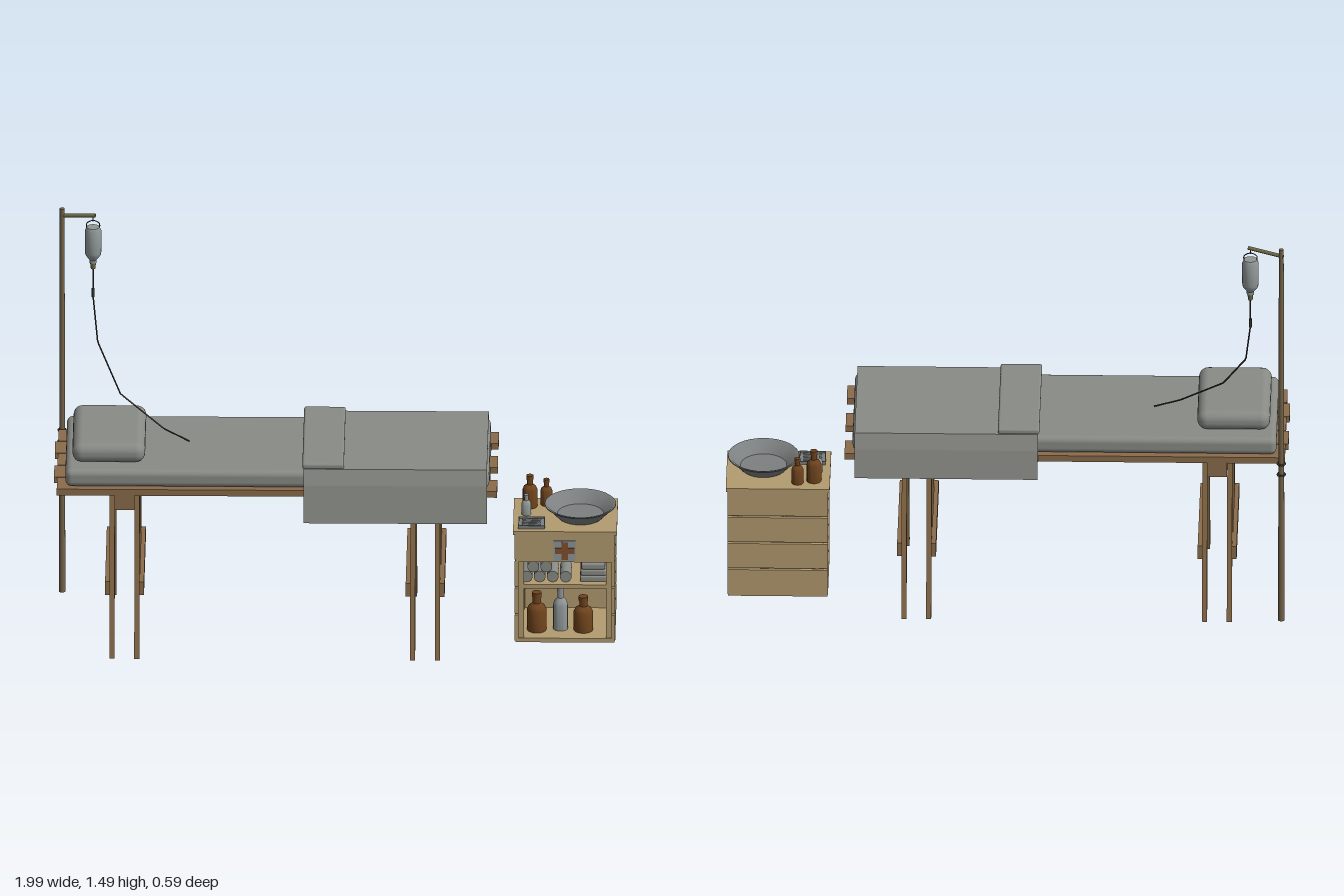
import * as THREE from 'three';
import { RoundedBoxGeometry } from 'three/addons/geometries/RoundedBoxGeometry.js';
import { toCreasedNormals } from 'three/addons/utils/BufferGeometryUtils.js';

const mat = (name, color, side = THREE.FrontSide) => {
  const m = new THREE.MeshStandardMaterial({ color, side });
  m.name = name;
  return m;
};

export function createModel() {
  const wood = mat('trestle wood', 0x8a6c4a);
  const crateWood = mat('crate wood', 0xb39b70);
  const cloth = mat('cloth', 0x898b86);
  const glass = mat('clear glass', 0x8f9696);
  const amber = mat('amber glass', 0x6e431d);
  const enamel = mat('basin enamel', 0x7d8080, THREE.DoubleSide);
  const poleMat = mat('pole', 0x75644a);
  const brass = mat('brass', 0x6f6a45);
  const rubber = mat('dark rubber', 0x3a362e);
  const crossMat = mat('cross paint', 0x80512c);

  const root = new THREE.Group();
  root.name = 'fieldHospitalBed';
  const group = (name) => {
    const g = new THREE.Group();
    g.name = name;
    root.add(g);
    return g;
  };
  const add = (parent, name, geo, m, x = 0, y = 0, z = 0) => {
    const mesh = new THREE.Mesh(geo, m);
    mesh.name = name;
    mesh.position.set(x, y, z);
    parent.add(mesh);
    return mesh;
  };
  // box given by its limits on each axis
  const box = (parent, name, m, x0, x1, y0, y1, z0, z1, r = 0) => {
    const s = [x1 - x0, y1 - y0, z1 - z0];
    const geo = r ? new RoundedBoxGeometry(...s, 3, r) : new THREE.BoxGeometry(...s);
    return add(parent, name, geo, m, (x0 + x1) / 2, (y0 + y1) / 2, (z0 + z1) / 2);
  };
  // outline of [z, y] points, extruded along x
  const prism = (parent, name, m, pts, x0, x1) => {
    const shape = new THREE.Shape(pts.map(([z, y]) => new THREE.Vector2(-z, y)));
    const geo = new THREE.ExtrudeGeometry(shape, { depth: x1 - x0, bevelEnabled: false });
    geo.rotateY(Math.PI / 2);
    return add(parent, name, geo, m, x0);
  };
  const lathe = (pts, seg = 16) =>
    toCreasedNormals(new THREE.LatheGeometry(pts.map(([r, y]) => new THREE.Vector2(r, y)), seg), 0.6);
  const v = (x, y, z) => new THREE.Vector3(x, y, z);
  const rod = (parent, name, m, a, b, r) => {
    const d = b.clone().sub(a);
    const mesh = add(parent, name, new THREE.CylinderGeometry(r, r, d.length(), 8), m);
    mesh.position.copy(a).addScaledVector(d, 0.5);
    mesh.quaternion.setFromUnitVectors(v(0, 1, 0), d.normalize());
  };

  // plank bed top with staggered ends
  const planks = group('planks');
  for (let i = 0; i < 5; i++) {
    const z = (i - 2) * 0.103;
    const odd = i % 2;
    box(planks, 'plank', wood, odd ? -0.998 : -0.987, odd ? 0.547 : 0.573, 0.616, 0.64, z - 0.049, z + 0.049);
  }

  // two trestles
  for (const cx of [-0.747, 0.318]) {
    const t = group('trestle');
    box(t, 'beam', wood, cx - 0.035, cx + 0.035, 0.56, 0.616, -0.255, 0.255);
    for (const sx of [-1, 1]) {
      const lx = cx + sx * 0.044;
      for (const s of [-1, 1]) {
        const pts = [[0.247 * s, 0], [0.297 * s, 0], [0.19 * s, 0.6], [0.14 * s, 0.6]];
        prism(t, 'leg', wood, pts, lx - 0.009, lx + 0.009);
      }
      const bx = cx + sx * 0.061;
      box(t, 'brace', wood, bx - 0.008, bx + 0.008, 0.22, 0.272, -0.236, 0.236);
    }
  }

  // bedding
  const bedding = group('bedding');
  box(bedding, 'mattress', cloth, -0.957, 0.545, 0.64, 0.706, -0.243, 0.243, 0.022);
  box(bedding, 'pillow', cloth, -0.933, -0.675, 0.704, 0.778, -0.188, 0.186, 0.034);
  prism(bedding, 'blanket', cloth, [
    [0.287, 0.53], [0.262, 0.66], [0.247, 0.706], [-0.247, 0.706], [-0.262, 0.66], [-0.283, 0.56],
    [-0.289, 0.56], [-0.269, 0.665], [-0.25, 0.721], [0.25, 0.721], [0.269, 0.665], [0.293, 0.53],
  ], -0.112, 0.537);
  box(bedding, 'blanketFold', cloth, -0.117, 0.03, 0.718, 0.74, -0.248, 0.248, 0.008);

  // drip stand
  const stand = group('dripStand');
  const px = -0.975, pz = -0.277;
  add(stand, 'pole', new THREE.CylinderGeometry(0.009, 0.012, 1.49, 10), poleMat, px, 0.745, pz);
  for (const y of [0.585, 0.628]) {
    const ring = add(stand, 'clamp', new THREE.TorusGeometry(0.013, 0.004, 6, 14), rubber, px, y, pz);
    ring.rotation.x = Math.PI / 2;
  }
  rod(stand, 'arm', brass, v(px - 0.008, 1.462, pz - 0.002), v(-0.857, 1.478, -0.245), 0.007);

  // hanging bottle, drip chamber and tube
  const drip = group('drip');
  const bx = -0.865, bz = -0.247;
  const wire = [v(-0.022, 1.42, 0), v(-0.022, 1.447, 0), v(0, 1.458, 0), v(0.022, 1.447, 0), v(0.022, 1.42, 0)];
  add(drip, 'hanger', new THREE.TubeGeometry(new THREE.CatmullRomCurve3(wire), 16, 0.002, 5), rubber, bx, 0, bz);
  rod(drip, 'hook', rubber, v(bx, 1.455, bz), v(bx, 1.477, bz), 0.002);
  add(drip, 'bottle', lathe([[0, 1.295], [0.013, 1.295], [0.013, 1.306], [0.027, 1.325], [0.029, 1.335],
    [0.029, 1.42], [0.023, 1.433], [0, 1.433]]), glass, bx, 0, bz);
  add(drip, 'stopper', new THREE.CylinderGeometry(0.011, 0.008, 0.026, 12), brass, bx, 1.284, bz);
  add(drip, 'chamber', new THREE.CylinderGeometry(0.005, 0.005, 0.034, 8), rubber, bx, 1.177, bz);
  const path = new THREE.CurvePath();
  const stops = [v(bx, 1.28, bz), v(bx, 1.165, bz), v(-0.848, 1.007, -0.2), v(-0.766, 0.853, -0.095),
    v(-0.61, 0.747, -0.03), v(-0.52, 0.71, -0.008)];
  stops.slice(1).forEach((p, i) => path.add(new THREE.LineCurve3(stops[i], p)));
  add(drip, 'tube', new THREE.TubeGeometry(path, 60, 0.003, 6), rubber);

  // crate cabinet
  const crate = group('crate');
  const x0 = 0.634, x1 = 0.99;
  for (let i = 0; i < 4; i++) {
    const y0 = 0.008 + i * 0.105, y1 = y0 + 0.098;
    box(crate, 'sideSlat', crateWood, x0, x0 + 0.014, y0, y1, -0.138, 0.138);
    box(crate, 'sideSlat', crateWood, x1 - 0.014, x1, y0, y1, -0.138, 0.138);
    box(crate, 'backSlat', crateWood, x0 + 0.014, x1 - 0.014, y0, y1, -0.138, -0.126);
  }
  for (const x of [x0 + 0.014, x1 - 0.032])
    for (const z of [-0.126, 0.114]) box(crate, 'post', crateWood, x, x + 0.018, 0, 0.422, z, z + 0.018);
  box(crate, 'floor', crateWood, x0 + 0.002, x1 - 0.002, 0, 0.016, -0.136, 0.136);
  box(crate, 'shelf', crateWood, x0 + 0.014, x1 - 0.014, 0.208, 0.223, -0.126, 0.132);
  box(crate, 'drawerFront', crateWood, x0 + 0.003, x1 - 0.003, 0.315, 0.42, 0.128, 0.142);
  box(crate, 'top', crateWood, x0 - 0.006, x1 + 0.006, 0.42, 0.434, -0.142, 0.143);
  box(crate, 'signPlate', glass, 0.772, 0.85, 0.321, 0.399, 0.142, 0.145);
  box(crate, 'crossBar', crossMat, 0.777, 0.845, 0.349, 0.371, 0.145, 0.148);
  box(crate, 'crossPost', crossMat, 0.8, 0.822, 0.326, 0.394, 0.145, 0.1485);

  // bottles: x, floor y, z, radius, height
  const bottles = group('bottles');
  const bottle = (m, x, y, z, r, h) => {
    add(bottles, 'bottle', lathe([[0, 0], [r, 0], [r, h * 0.56], [r * 0.85, h * 0.64], [r * 0.42, h * 0.72],
      [r * 0.42, h * 0.88], [0, h * 0.88]]), m, x, y, z);
    add(bottles, 'cap', new THREE.CylinderGeometry(r * 0.5, r * 0.5, h * 0.13, 12), m, x, y + h * 0.935, z);
  };
  bottle(amber, 0.711, 0.016, 0.06, 0.034, 0.145);
  bottle(glass, 0.795, 0.016, 0.05, 0.026, 0.168);
  bottle(amber, 0.876, 0.016, 0.06, 0.034, 0.13);
  bottle(amber, 0.685, 0.434, -0.075, 0.026, 0.12);
  bottle(amber, 0.743, 0.434, -0.092, 0.021, 0.098);
  bottle(glass, 0.673, 0.434, -0.008, 0.017, 0.075);

  // rolled bandages and folded cloths on the shelf
  const linen = group('linen');
  const rolls = [[0.676, 0], [0.722, 0], [0.768, 0], [0.814, 0], [0.699, 1], [0.745, 1]];
  for (const [x, row] of rolls) {
    const roll = add(linen, 'bandage', new THREE.CylinderGeometry(0.021, 0.021, 0.1, 14), cloth, x, 0.244 + row * 0.038, 0.06);
    roll.rotation.x = Math.PI / 2;
  }
  for (let i = 0; i < 3; i++)
    box(linen, 'foldedCloth', cloth, 0.865 + i * 0.002, 0.96 - i * 0.003, 0.223 + i * 0.024, 0.246 + i * 0.024, -0.03, 0.11, 0.006);

  // basin and instrument tray
  const topItems = group('topItems');
  add(topItems, 'basin', lathe([[0, 0.437], [0.078, 0.437], [0.085, 0.443], [0.118, 0.48], [0.127, 0.484],
    [0.126, 0.487], [0.116, 0.484], [0.082, 0.447], [0, 0.443]], 32), enamel, 0.865, 0, 0.014);
  box(topItems, 'tray', enamel, 0.646, 0.74, 0.434, 0.44, 0.042, 0.122);
  for (const z of [0.042, 0.119]) box(topItems, 'trayRim', enamel, 0.646, 0.74, 0.44, 0.447, z, z + 0.003);
  for (const x of [0.646, 0.737]) box(topItems, 'trayRim', enamel, x, x + 0.003, 0.44, 0.447, 0.045, 0.119);
  for (let i = 0; i < 3; i++)
    rod(topItems, 'instrument', glass, v(0.66, 0.444, 0.058 + i * 0.022), v(0.725, 0.444, 0.063 + i * 0.022), 0.0035);

  return root;
}
